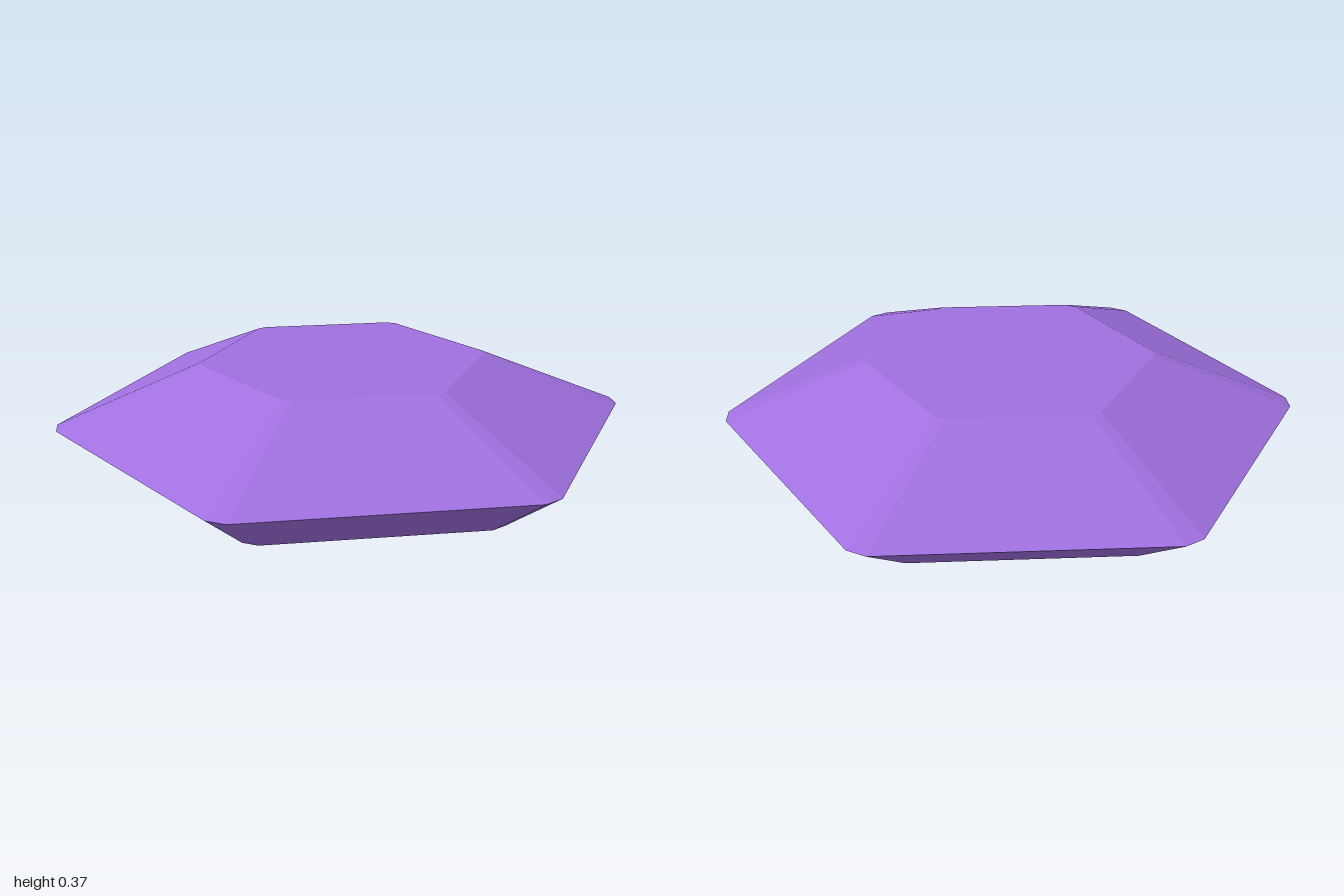
import * as THREE from 'three';

// Hexagonal outline with narrow clipped corners, pointing along z
function outline(scale, y) {
  const points = [];
  for (let i = 0; i < 6; i++) {
    const a = Math.PI / 6 + (i * Math.PI) / 3;
    for (const s of [-0.035, 0.035]) {
      points.push(new THREE.Vector3(
        scale * (Math.cos(a) - s * Math.sin(a)),
        y,
        scale * (Math.sin(a) + s * Math.cos(a))
      ));
    }
  }
  return points;
}

function facets(triangles) {
  const geometry = new THREE.BufferGeometry().setFromPoints(triangles);
  geometry.computeVertexNormals();
  return geometry;
}

// Sloping band between two outlines
function band(lower, upper) {
  const t = [];
  lower.forEach((a, i) => {
    const j = (i + 1) % lower.length;
    t.push(a, upper[i], upper[j], a, upper[j], lower[j]);
  });
  return facets(t);
}

// Flat face closing an outline
function cap(ring, up) {
  const centre = new THREE.Vector3(0, ring[0].y, 0);
  const t = [];
  ring.forEach((p, i) => {
    const q = ring[(i + 1) % ring.length];
    t.push(centre, up ? q : p, up ? p : q);
  });
  return facets(t);
}

export function createModel() {
  const group = new THREE.Group();
  group.name = 'hexagonalGem';

  const purple = new THREE.MeshStandardMaterial({ color: 0xa070e0, flatShading: true });
  purple.name = 'purple';

  const base = outline(0.78, 0);
  const girdle = outline(1, 0.165);
  const table = outline(0.5, 0.373);

  const parts = {
    bottomFace: cap(base, false),
    lowerFacets: band(base, girdle),
    upperFacets: band(girdle, table),
    topFace: cap(table, true),
  };
  for (const [name, geometry] of Object.entries(parts)) {
    const mesh = new THREE.Mesh(geometry, purple);
    mesh.name = name;
    group.add(mesh);
  }
  return group;
}
